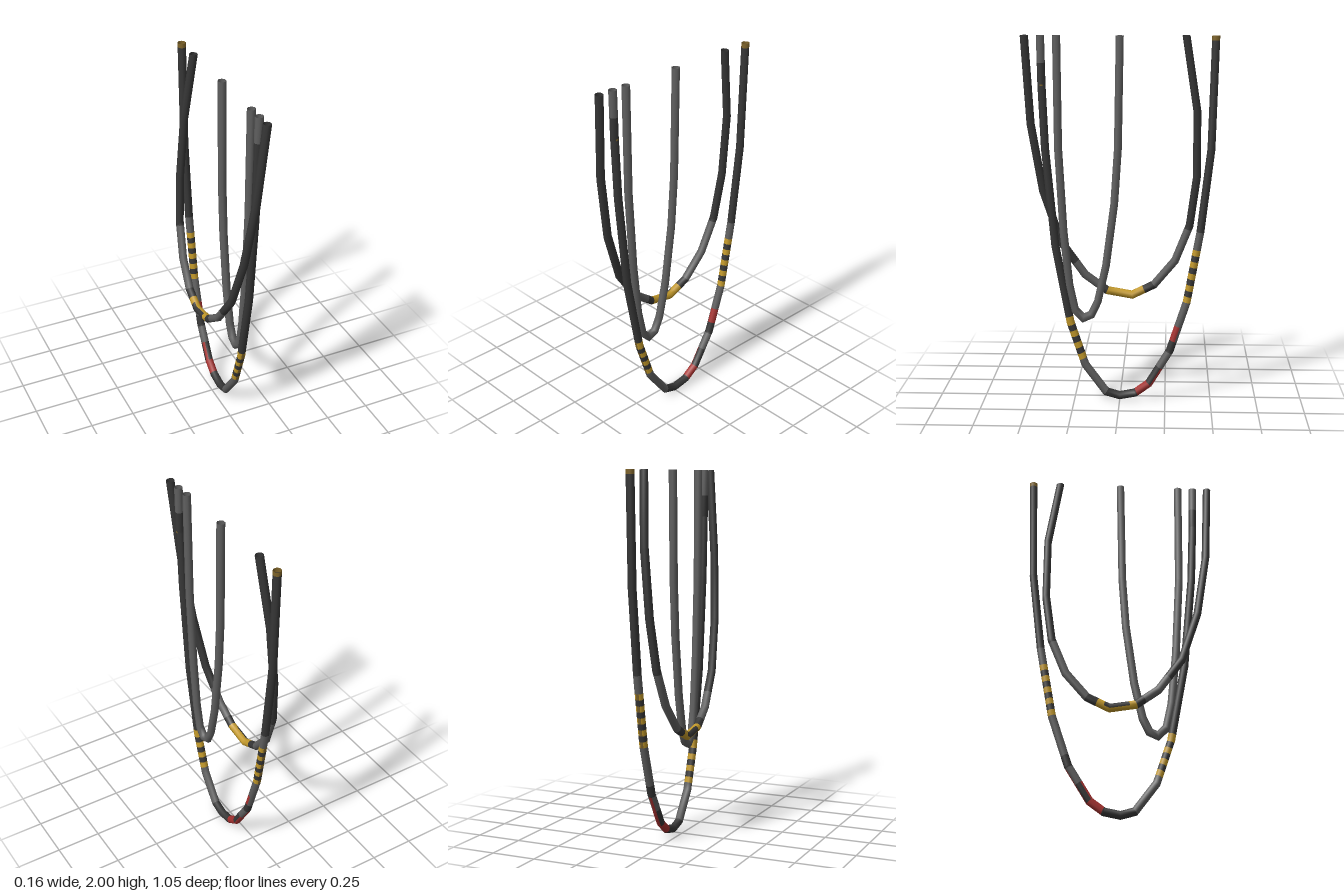
import * as THREE from 'three';

const RADIUS = 0.0225;
const SIDES = 8;

// Strips of the tube wall, numbered around the cable:
// 7 = left, 1 = outside of the loop, 3 = right, 5 = inside of the loop
const OUTSIDE = [1];
const LEFT = [7];
const RIGHT = [3, 4];
const INNER_LEFT = [5, 6, 7];
const TAPE_EDGES = [0, 1, 4];

const material = (name, color) => {
  const m = new THREE.MeshStandardMaterial({ color, side: THREE.DoubleSide });
  m.name = name;
  return m;
};

// Alternating yellow and dark bands, worn on the outside of the loop
function stripes(from, to, count) {
  const bands = [];
  for (let i = 1; i <= count; i++) {
    const end = from + ((to - from) * i) / count;
    bands.push(i % 2 ? [end, 'yellow', 'ochre', OUTSIDE] : [end, 'dark']);
  }
  return bands;
}

// Open tube hanging in a plane that leans sideways by `lean` per unit of height.
// points: [z, y] pairs
// bands: [end position along the points, colour, accent colour, accent strips]
function cable(name, points, bands, materials, lean = 0) {
  const topX = 0.054;
  const up = new THREE.Vector3(lean, 1, 0).normalize();
  const side = new THREE.Vector3(1, -lean, 0).normalize();
  const path = points.map(([z, y]) => new THREE.Vector3(topX - lean * (2 - y), y, z));
  const last = path.length - 1;

  // One mitred ring at every bend, level rings at both ends
  const rings = path.map((p, i) => {
    const before = i > 0 ? p.clone().sub(path[i - 1]).normalize() : up.clone().negate();
    const after = i < last ? path[i + 1].clone().sub(p).normalize() : up.clone();
    const tangent = i === 0 ? before : i === last ? after : before.clone().add(after).normalize();
    const stretch = 1 / Math.max(0.7, tangent.dot(after));
    const across = tangent.clone().cross(side).multiplyScalar(RADIUS * stretch);
    return Array.from({ length: SIDES }, (_, j) => {
      const a = ((j + 0.5) / SIDES) * Math.PI * 2;
      return p.clone().addScaledVector(side, RADIUS * Math.cos(a)).addScaledVector(across, Math.sin(a));
    });
  });

  // Rings sit at every bend and at every colour change
  const stops = [...new Set([...path.keys(), ...bands.map((b) => b[0])])].sort((a, b) => a - b);
  const positions = [];
  stops.forEach((t) => {
    const i = Math.min(Math.floor(t), last - 1);
    for (let j = 0; j < SIDES; j++) {
      positions.push(...rings[i][j].clone().lerp(rings[i + 1][j], t - i).toArray());
    }
  });

  // Faces are collected by colour
  const names = Object.keys(materials);
  const faces = names.map(() => []);
  for (let s = 0; s < stops.length - 1; s++) {
    const middle = (stops[s] + stops[s + 1]) / 2;
    const [, colour, accent, strips = []] = bands.find((band) => middle < band[0]);
    for (let j = 0; j < SIDES; j++) {
      const a = s * SIDES + j;
      const b = s * SIDES + ((j + 1) % SIDES);
      const list = faces[names.indexOf(strips.includes(j) ? accent : colour)];
      list.push(a, b, b + SIDES, a, b + SIDES, a + SIDES);
    }
  }

  const geometry = new THREE.BufferGeometry();
  geometry.setAttribute('position', new THREE.Float32BufferAttribute(positions, 3));
  geometry.setIndex(faces.flat());
  let start = 0;
  faces.forEach((list, k) => {
    if (list.length) geometry.addGroup(start, list.length, k);
    start += list.length;
  });
  geometry.computeVertexNormals();
  const mesh = new THREE.Mesh(geometry, Object.values(materials));
  mesh.name = name;
  return mesh;
}

export function createModel() {
  const materials = {
    dark: material('darkRubber', 0x373737),
    grey: material('greyRubber', 0x606060),
    yellow: material('warningYellow', 0xc49a2a),
    ochre: material('wornYellow', 0x80652a),
    red: material('redTape', 0xa83230),
  };
  const group = new THREE.Group();
  group.name = 'hangingCables';

  // Longest cable with warning stripes and red tape
  group.add(cable('longCable', [
    [0.42, 2], [0.415, 1.74], [0.4, 1.4], [0.35, 0.87], [0.27, 0.44], [0.19, 0.2],
    [0.075, 0.045], [0, 0.0235], [-0.085, 0.04], [-0.16, 0.095], [-0.275, 0.285],
    [-0.365, 0.56], [-0.435, 0.95], [-0.488, 1.4], [-0.505, 2],
  ], [
    [0.55, 'grey'], [0.985, 'dark'], [1.015, 'dark', 'ochre', LEFT], [3.92, 'dark'],
    ...stripes(3.92, 4.85, 7),
    [6, 'grey'], [8.1, 'dark'], [9, 'red'], [9.5, 'dark', 'red', TAPE_EDGES],
    [9.95, 'grey', 'red', OUTSIDE], [10.2, 'dark'], [10.5, 'grey', 'red', INNER_LEFT], [11, 'grey'],
    ...stripes(11, 11.75, 9),
    [12, 'grey'], [13.96, 'dark'], [14, 'ochre'],
  ], materials));

  // Middle cable swinging out to one side
  group.add(cable('leaningCable', [
    [0.505, 2], [0.48, 1.53], [0.42, 1.16], [0.325, 0.87], [0.195, 0.685], [0.075, 0.595],
    [-0.065, 0.57], [-0.185, 0.63], [-0.3, 0.77], [-0.378, 0.97], [-0.414, 1.24],
    [-0.412, 1.6], [-0.35, 2],
  ], [
    [3.6, 'dark'], [4.65, 'grey'], [5, 'dark'], [5.25, 'yellow'], [6.25, 'yellow', 'dark', RIGHT],
    [6.55, 'yellow'], [7, 'dark'], [8.9, 'grey'], [12, 'dark'],
  ], materials, 0.08));

  // Narrow plain cable
  group.add(cable('shortCable', [
    [0.335, 2], [0.33, 1.4], [0.305, 0.95], [0.275, 0.65], [0.245, 0.51], [0.2, 0.465],
    [0.155, 0.485], [0.12, 0.56], [0.075, 0.76], [0.03, 1.1], [0.01, 1.4], [0, 2],
  ], [[11, 'grey']], materials));

  return group;
}
